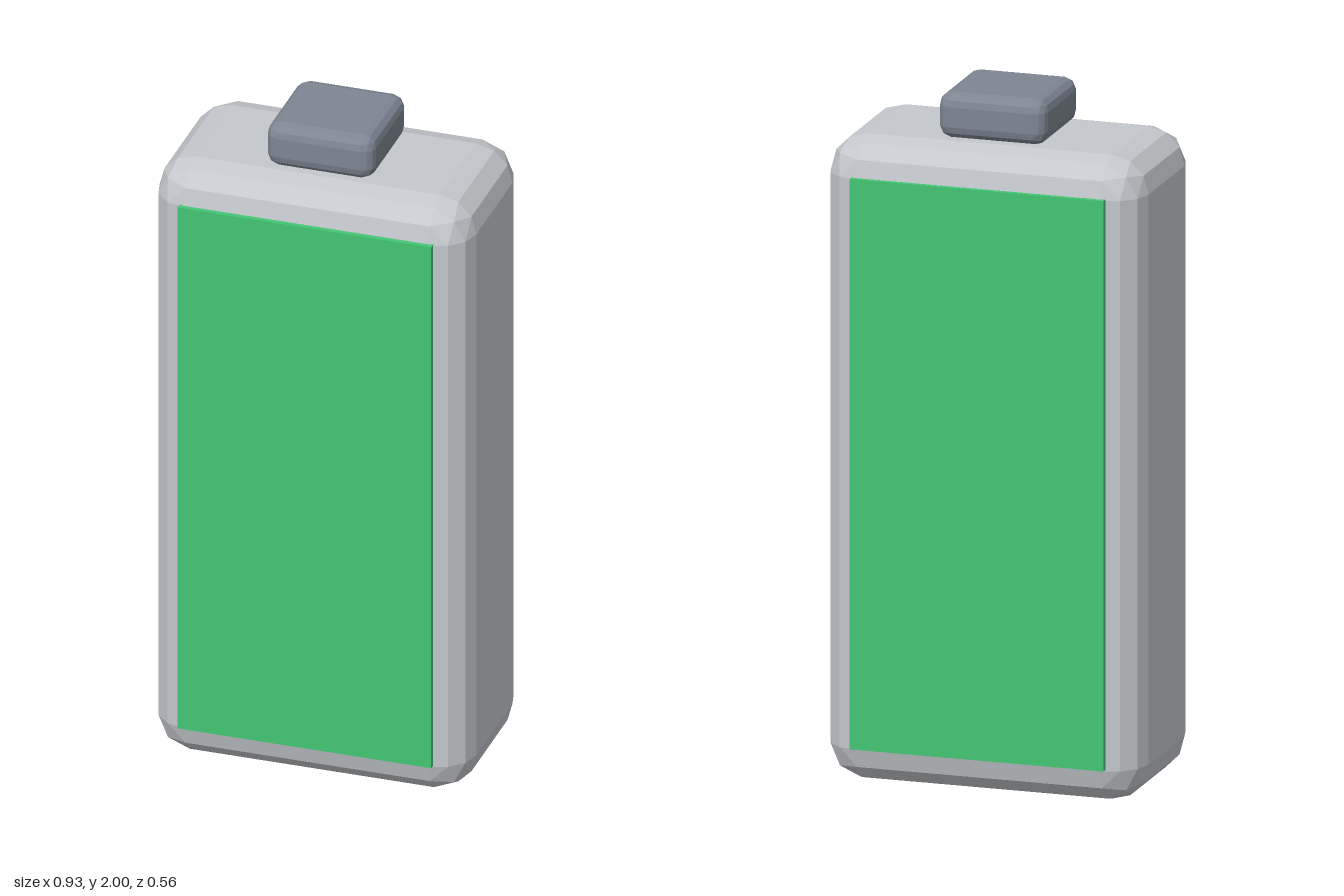
import * as THREE from 'three';
import { ConvexGeometry } from 'three/addons/geometries/ConvexGeometry.js';

const material = (name, color) => {
  const m = new THREE.MeshStandardMaterial({ color });
  m.name = name;
  return m;
};

// Faceted box whose edges are rounded in three 30 degree steps
function bevelledBox(width, height, depth, radius) {
  const points = [];
  const step = (i) => Math.sin((i * Math.PI) / 6);
  for (const sx of [-1, 1]) for (const sy of [-1, 1]) for (const sz of [-1, 1]) {
    for (let i = 0; i <= 3; i++) for (let j = 0; j <= 3 - i; j++) {
      const d = new THREE.Vector3(step(i), step(j), step(3 - i - j)).setLength(radius);
      points.push(new THREE.Vector3(
        sx * (width / 2 - radius + d.x),
        sy * (height / 2 - radius + d.y),
        sz * (depth / 2 - radius + d.z)));
    }
  }
  return new ConvexGeometry(points);
}

export function createModel() {
  const model = new THREE.Group();
  model.name = 'battery';
  const casing = material('light grey', 0xc4c7cc);
  const metal = material('slate grey', 0x7d8692);
  const green = material('green', 0x43c675);

  const add = (name, geometry, mat, y, z = 0) => {
    const mesh = new THREE.Mesh(geometry, mat);
    mesh.name = name;
    mesh.position.set(0, y, z);
    model.add(mesh);
  };

  // Casing and terminal on top
  add('casing', bevelledBox(0.934, 1.868, 0.534, 0.107), casing, 0.934);
  add('terminal', bevelledBox(0.318, 0.132, 0.318, 0.037), metal, 1.934);

  // Raised panels on front and back
  for (const [name, side] of [['frontPanel', 1], ['backPanel', -1]]) {
    add(name, new THREE.BoxGeometry(0.748, 1.654, 0.019), green, 0.938, side * 0.2715);
  }
  return model;
}
